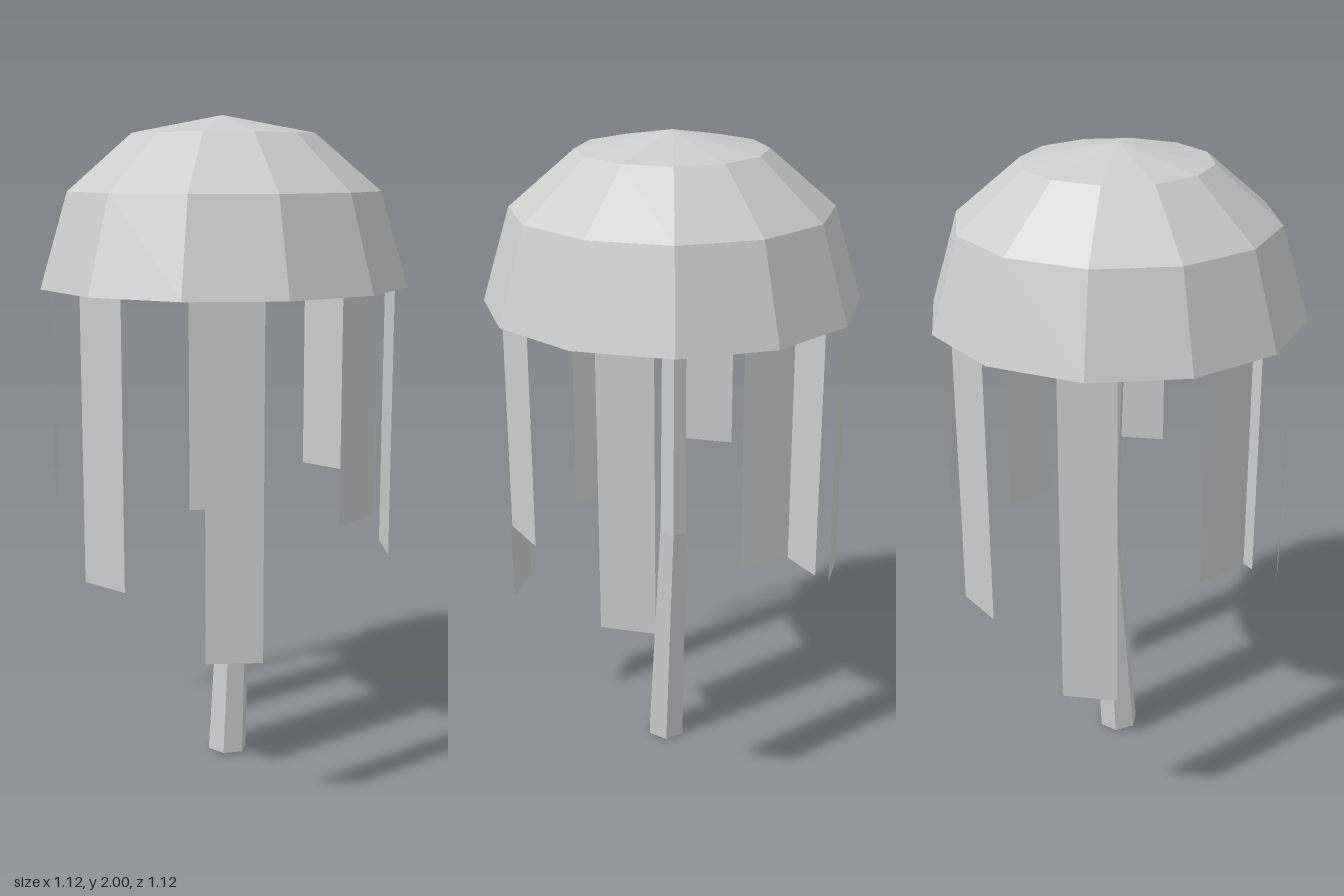
import * as THREE from 'three';

export function createModel() {
  const model = new THREE.Group();
  const grey = new THREE.MeshStandardMaterial({ color: 0xcccccc, flatShading: true, side: THREE.DoubleSide });
  grey.name = 'plain grey';

  const add = (name, geometry, parent = model) => {
    const mesh = new THREE.Mesh(geometry, grey);
    mesh.name = name;
    parent.add(mesh);
    return mesh;
  };

  // Twelve-sided canopy dome with a flat underside
  const profile = [[0, 1.5], [0.56, 1.5], [0.475, 1.78], [0.279, 1.947], [0, 2]];
  add('canopy', new THREE.LatheGeometry(profile.map(([r, y]) => new THREE.Vector2(r, y)), 12));

  // Bent, tapering six-sided trunk: each ring is moved to its own centre, radius and tilt
  const rings = [
    { x: -0.002, y: 0.004, z: 0.023, r: 0.063, tilt: -0.06 },
    { x: 0.043, y: 0.765, z: 0.022, r: 0.046, tilt: 0 },
    { x: 0.01, y: 1.52, z: 0, r: 0.04, tilt: 0.04 },
  ];
  const trunk = new THREE.CylinderGeometry(1, 1, 2, 6, 2);
  const pos = trunk.attributes.position;
  for (let i = 0; i < pos.count; i++) {
    const c = rings[Math.round(pos.getY(i) + 1)];
    const dx = pos.getX(i) * c.r;
    pos.setXYZ(i, c.x + dx, c.y + c.tilt * dx, c.z + pos.getZ(i) * c.r);
  }
  trunk.computeVertexNormals();
  add('trunk', trunk);

  // Eight hanging strips in three repeating lengths, starting at the front left
  const strips = new THREE.Group();
  strips.name = 'hangingStrips';
  model.add(strips);
  const bottoms = [0.66, 0.847, 0.475];
  for (let i = 0; i < 8; i++) {
    const angle = Math.PI / 4 - (i * Math.PI) / 4;
    const bottom = bottoms[i % 3];
    const strip = add('hangingStrip', new THREE.PlaneGeometry(0.163, 1.5 - bottom), strips);
    strip.position.set(0.515 * Math.sin(angle), (1.5 + bottom) / 2, 0.515 * Math.cos(angle));
    strip.rotation.y = angle;
  }

  return model;
}
